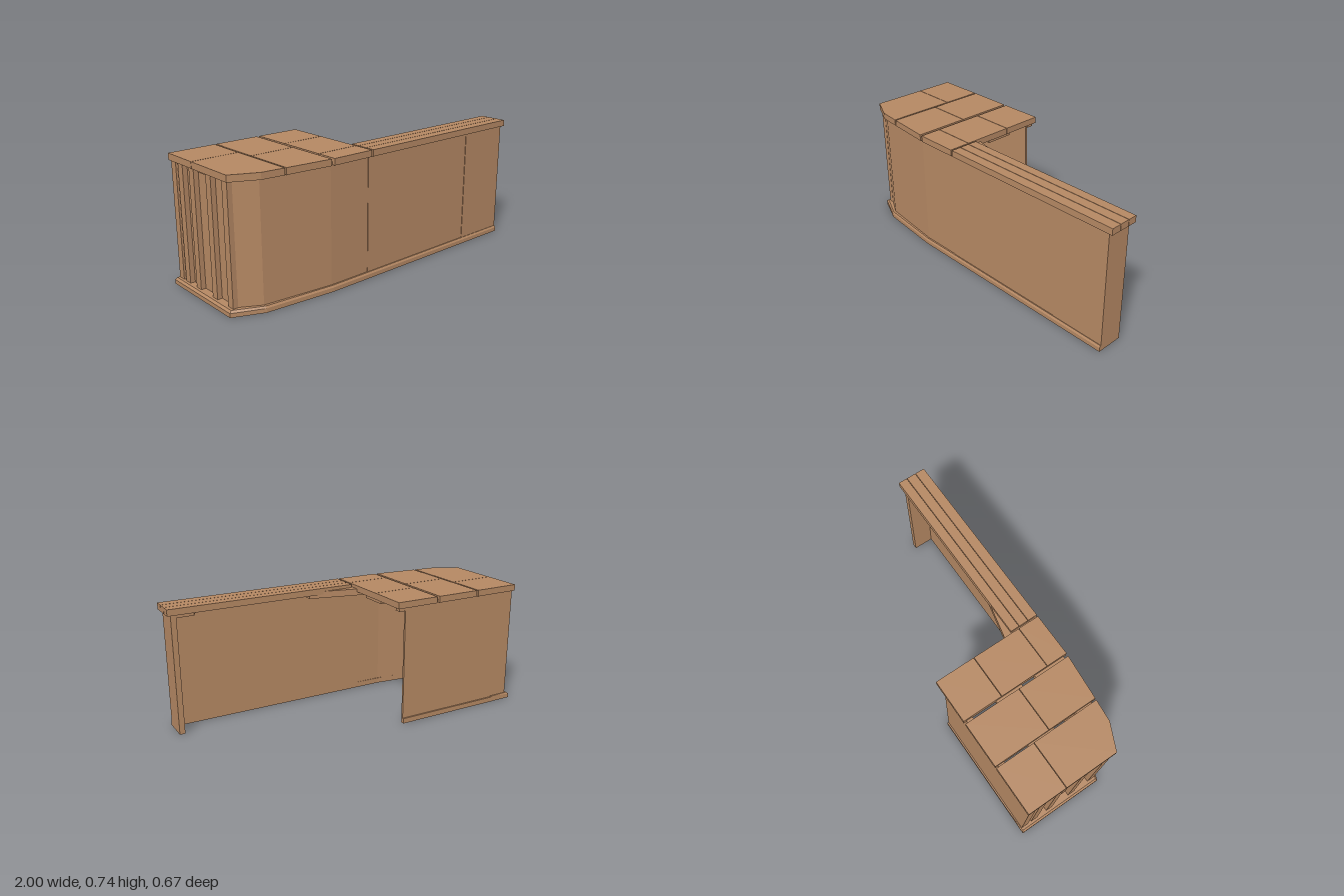
import * as THREE from 'three';

const wood = new THREE.MeshStandardMaterial({ color: 0xb58863 });
wood.name = 'warm wood';

// Upright prism from a plan outline of [x, z] corners; topPts optionally reshapes its upper face
function prism(name, pts, y0, y1, topPts) {
  const shape = new THREE.Shape(pts.map(([x, z]) => new THREE.Vector2(x, -z)));
  let geo = new THREE.ExtrudeGeometry(shape, { depth: y1 - y0, bevelEnabled: false });
  geo.rotateX(-Math.PI / 2).translate(0, y0, 0);
  if (topPts) {
    const p = geo.attributes.position;
    for (let i = 0; i < p.count; i++) {
      if (p.getY(i) < (y0 + y1) / 2) continue;
      const k = pts.findIndex(([x, z]) => Math.hypot(x - p.getX(i), z - p.getZ(i)) < 1e-4);
      if (k >= 0) { p.setX(i, topPts[k][0]); p.setZ(i, topPts[k][1]); }
    }
    geo.computeVertexNormals();
  }
  const mesh = new THREE.Mesh(geo, wood);
  mesh.name = name;
  return mesh;
}

const block = (name, x0, x1, y0, y1, z0, z1) =>
  prism(name, [[x0, z0], [x1, z0], [x1, z1], [x0, z1]], y0, y1);

export function createModel() {
  const g = new THREE.Group();
  g.name = 'counter';
  const TOP = 0.735, UNDER = 0.698, BEAM = 0.677, SEAM = 0.0015;

  // Bent front wall, with a few slightly raised facing panels
  g.add(prism('frontWall', [
    [-0.95, 0.205], [-0.83, 0.272], [-0.42, 0.316], [0.968, 0.316],
    [0.968, 0.3], [-0.42, 0.3], [-0.82, 0.257], [-0.93, 0.195],
  ], 0.005, UNDER));
  g.add(block('facingPanel', -0.16, 0.64, 0.03, UNDER, 0.31, 0.319));
  g.add(block('facingPanel', 0.64, 0.968, 0.03, UNDER, 0.31, 0.322));

  // End panel and back panel
  g.add(block('rightEndPanel', 0.94, 0.972, 0, UNDER, 0.177, 0.322));
  g.add(block('backPanel', -0.955, -0.2, 0.005, UNDER, -0.318, -0.305));

  // Thick left end with upright slats
  g.add(prism('leftEnd', [[-0.945, -0.318], [-0.86, -0.318], [-0.86, 0.22], [-0.93, 0.21], [-0.945, 0.2]], 0.005, UNDER));
  for (const z of [-0.318, -0.25, -0.14, 0.02, 0.165])
    g.add(block('endSlat', -0.973, -0.944, 0.03, UNDER, z, z + 0.045));

  // Plinth: straight foot with a small chamfer above
  const foot = [
    [-1, -0.327], [-1, 0.22], [-0.83, 0.294], [-0.42, 0.332], [0.972, 0.332],
    [0.972, 0.3], [-0.42, 0.3], [-0.81, 0.257], [-0.86, 0.21], [-0.86, -0.327],
  ];
  const footTop = foot.map(([x, z], i) => (i < 5 ? [x < -0.9 ? x + 0.012 : x, z > 0 ? z - 0.007 : z + 0.006] : [x, z]));
  g.add(prism('plinth', foot, 0, 0.024, foot));
  g.add(prism('plinthChamfer', foot, 0.024, 0.035, footTop));
  g.add(block('backPlinth', -0.87, -0.2, 0, 0.03, -0.327, -0.305));

  // Worktop boards, split by narrow seams
  const wide = [
    { x0: -0.98, x1: -0.7, seams: [-0.1], front: [[-0.7, 0.304], [-0.83, 0.291], [-0.98, 0.22]] },
    { x0: -0.69, x1: -0.422, seams: [0.005], front: [[-0.422, 0.329], [-0.69, 0.305]] },
    { x0: -0.405, x1: -0.145, seams: [-0.093, 0.203], front: [[-0.145, 0.331], [-0.405, 0.331]] },
  ];
  for (const { x0, x1, seams, front } of wide) {
    let z = -0.334;
    for (const s of seams) {
      g.add(block('worktopBoard', x0, x1, UNDER, TOP, z, s - SEAM));
      z = s + SEAM;
    }
    g.add(prism('worktopBoard', [[x0, z], [x1, z], ...front], UNDER, TOP));
  }
  const edges = [0.157, 0.213, 0.272, 0.331];
  for (let i = 0; i < 3; i++)
    g.add(block('shelfBoard', -0.135, 0.995, UNDER, TOP, edges[i] + SEAM, edges[i + 1] - (i < 2 ? SEAM : 0)));

  // Support beams under the worktop
  g.add(block('backBeam', -0.95, -0.16, BEAM, 0.716, -0.318, -0.28));
  g.add(block('middleBeam', -0.95, -0.16, BEAM, 0.716, -0.13, 0.035));
  g.add(prism('frontBeam', [
    [0.14, 0.31], [0.14, 0.177], [-0.19, 0.102], [-0.41, 0.12], [-0.7, 0.18], [-0.93, 0.19],
    [-0.83, 0.265], [-0.42, 0.312],
  ], BEAM, 0.716));
  g.add(prism('cornerBracket', [[0.945, 0.18], [0.945, 0.31], [0.78, 0.31], [0.84, 0.18]], BEAM, 0.7));
  return g;
}
